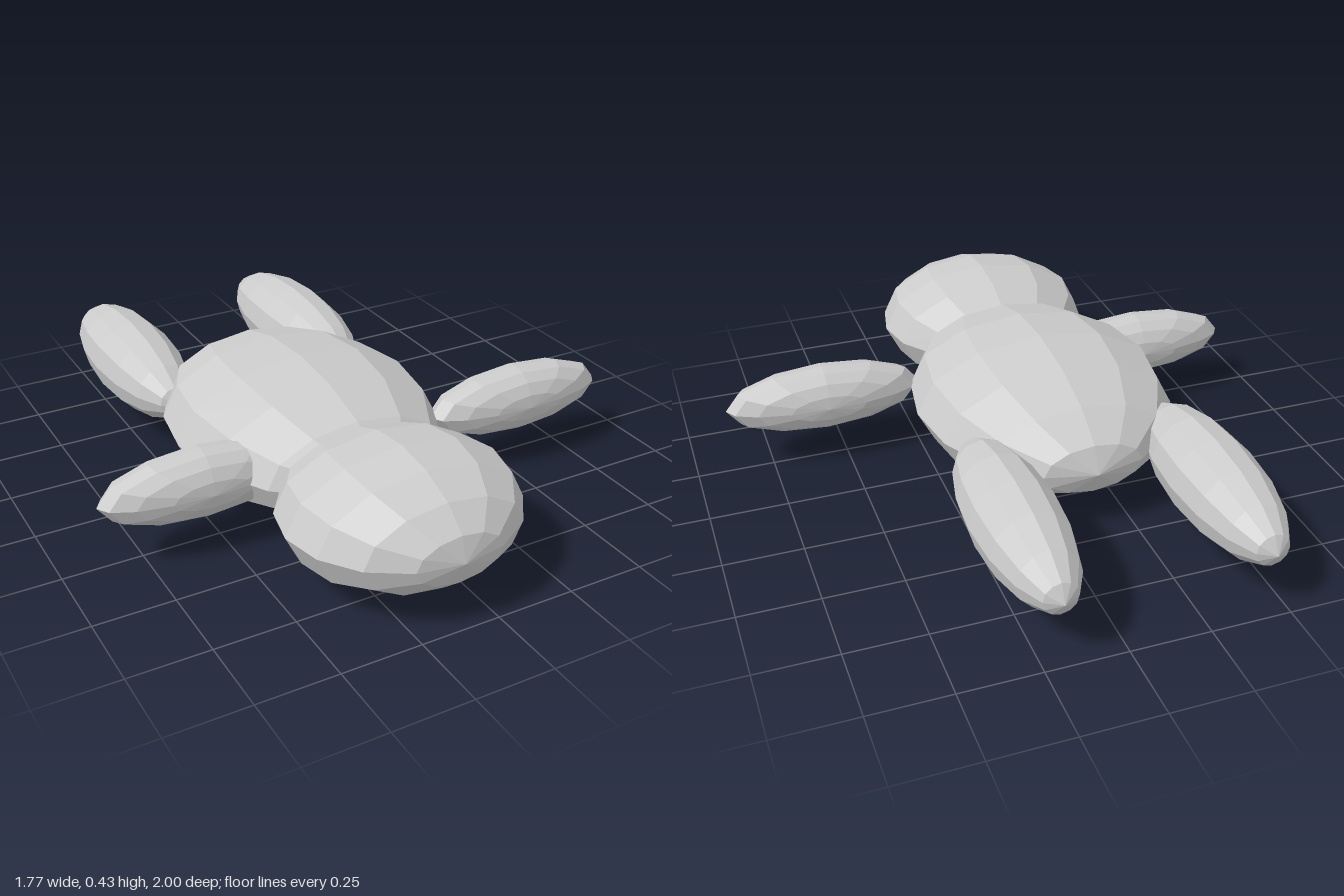
import * as THREE from 'three';

export function createModel() {
  const group = new THREE.Group();
  const material = new THREE.MeshStandardMaterial({ color: 0xcccccc, flatShading: true });

  // Shared low-poly sphere with its poles along z
  const ball = new THREE.SphereGeometry(1, 12, 8).rotateX(Math.PI / 2);
  const midY = 0.217;
  const trunkX = -0.12;

  // Ellipsoid part with half-sizes rx, ry, rz, centred at (x, z)
  function addPart(name, x, z, rx, ry, rz) {
    const mesh = new THREE.Mesh(ball.clone().scale(rx, ry, rz), material);
    mesh.name = name;
    mesh.position.set(x, midY, z);
    group.add(mesh);
  }

  addPart('body', trunkX, 0.05, 0.42, 0.215, 0.52);
  addPart('head', trunkX, 0.66, 0.365, 0.195, 0.338);

  // Paired limbs
  for (const [side, s] of [['left', 1], ['right', -1]]) {
    addPart(side + 'Arm', s * 0.56, 0.27, 0.325, 0.11, 0.1);
    addPart(side + 'Leg', trunkX + s * 0.315, -0.595, 0.138, 0.138, 0.405);
  }

  return group;
}
